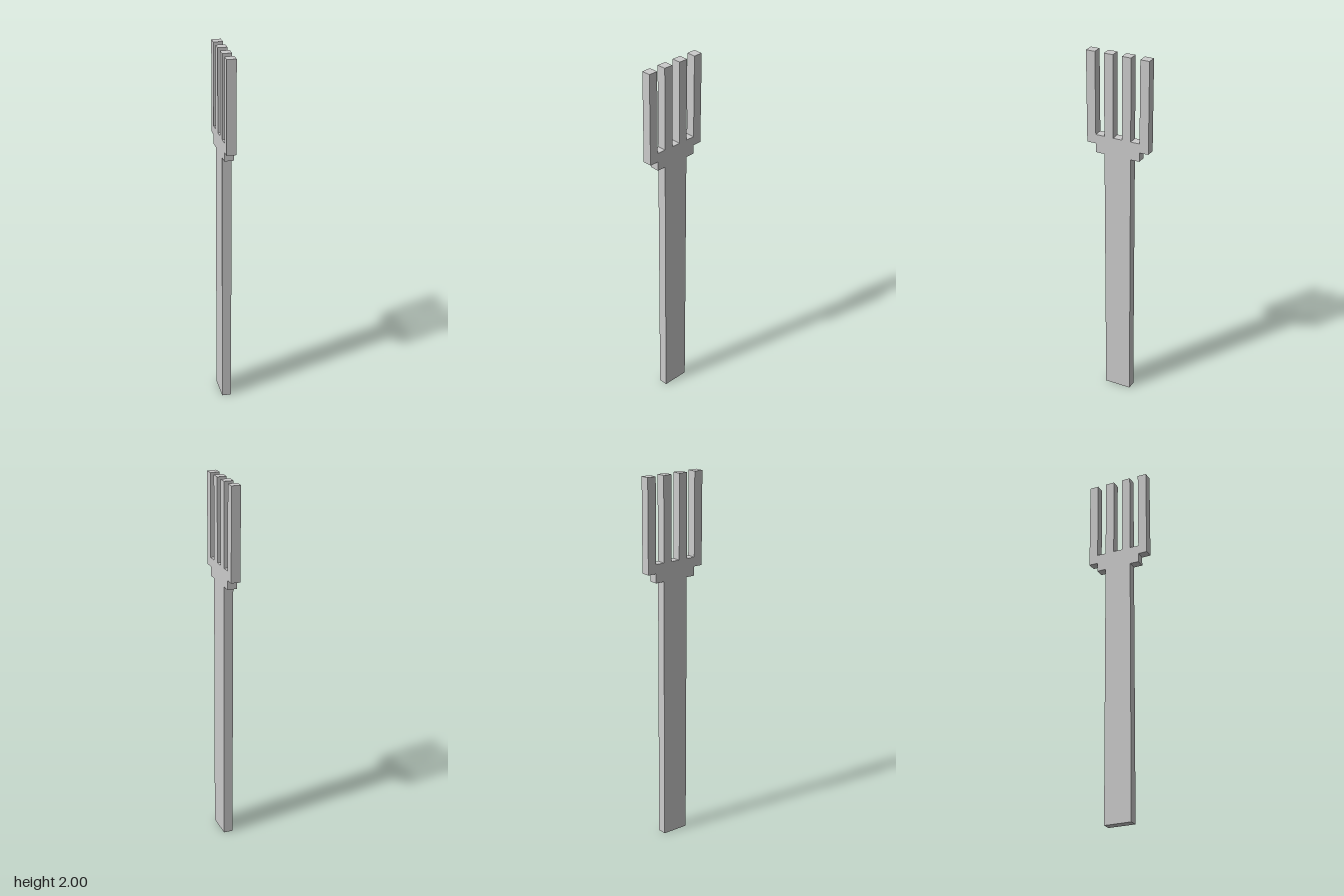
import * as THREE from 'three';

const THICKNESS = 0.05;

// Half of the flat fork outline: handle, stepped shoulder, then two tines
const HALF_OUTLINE = [
  [0.075, 0], [0.075, 1.45],
  [0.125, 1.45], [0.125, 1.5], [0.175, 1.5],
  [0.175, 2], [0.125, 2], [0.125, 1.55],
  [0.075, 1.55], [0.075, 2], [0.025, 2], [0.025, 1.55],
];

export function createModel() {
  const group = new THREE.Group();
  group.name = 'fork';

  // Mirror the half outline to close the shape
  const mirrored = HALF_OUTLINE.map(([u, y]) => [-u, y]).reverse();
  const outline = [...HALF_OUTLINE, ...mirrored].map(([u, y]) => new THREE.Vector2(u, y));

  // Extrude the plate and turn its broad faces to the sides
  const geometry = new THREE.ExtrudeGeometry(new THREE.Shape(outline), {
    depth: THICKNESS,
    bevelEnabled: false,
  });
  geometry.translate(0, 0, -THICKNESS / 2);
  geometry.rotateY(Math.PI / 2);

  const material = new THREE.MeshStandardMaterial({ color: 0xcccccc, flatShading: true });
  const body = new THREE.Mesh(geometry, material);
  body.name = 'handleAndTines';
  group.add(body);

  return group;
}
